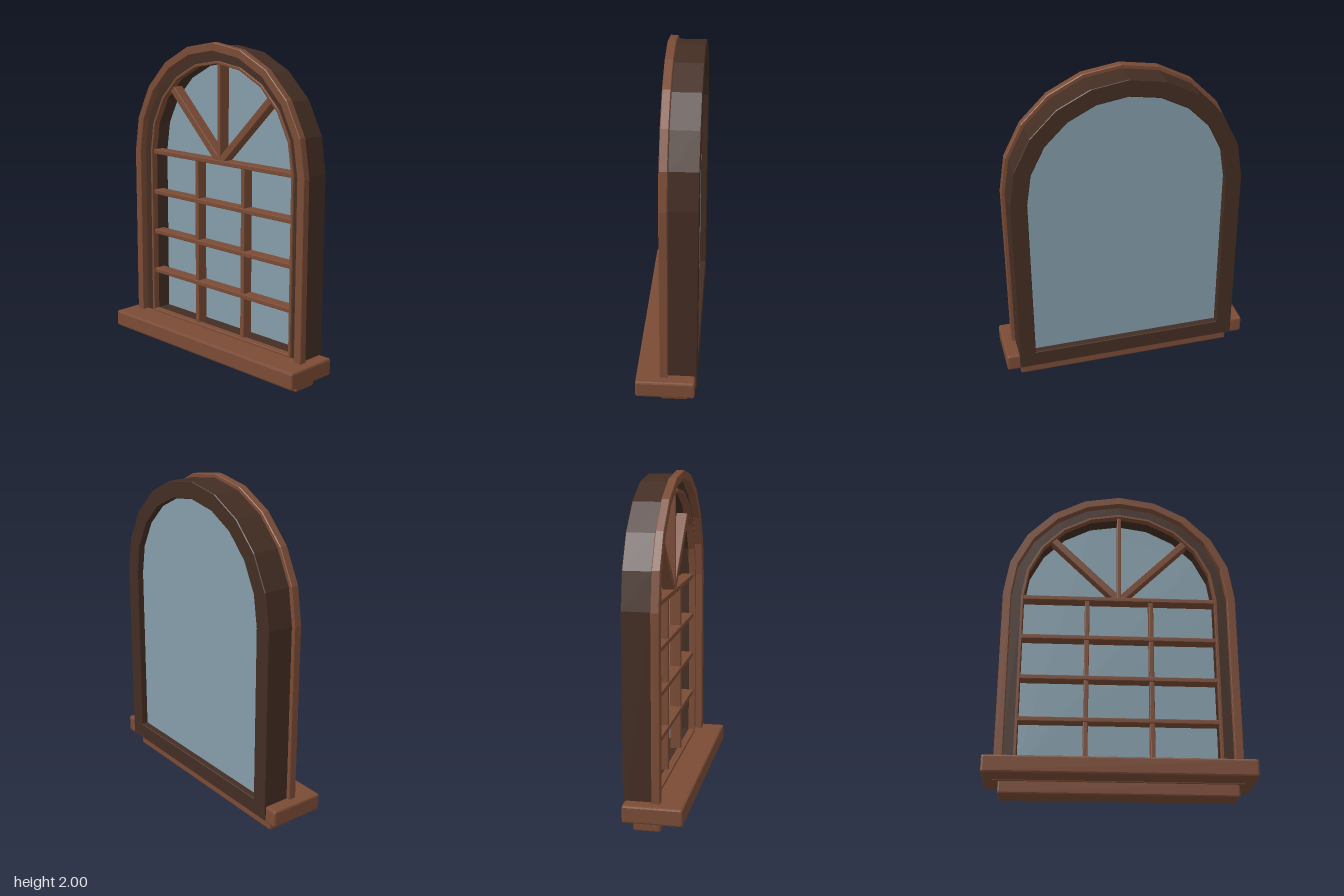
import * as THREE from 'three';
import { RoundedBoxGeometry } from 'three/addons/geometries/RoundedBoxGeometry.js';

const SPRING = 1.275; // height at which the arch begins
const SEGMENTS = 10;  // facets of the arch

// Points of an arched outline: straight sides topped by a faceted half circle
function archPoints(radius, bottom) {
  const points = [new THREE.Vector2(-radius, bottom), new THREE.Vector2(radius, bottom)];
  for (let i = 0; i <= SEGMENTS; i++) {
    const a = (i / SEGMENTS) * Math.PI;
    points.push(new THREE.Vector2(radius * Math.cos(a), SPRING + radius * Math.sin(a)));
  }
  return points;
}

// Closed arched ring between two outlines, from z0 (back) to z1 (front)
function archRing(outer, outerBottom, inner, innerBottom, z0, z1, bevel) {
  const shape = new THREE.Shape(archPoints(outer, outerBottom));
  shape.holes.push(new THREE.Path(archPoints(inner, innerBottom)));
  const geometry = new THREE.ExtrudeGeometry(shape, {
    depth: z1 - z0 - 2 * bevel, bevelEnabled: true, bevelSegments: 1,
    bevelThickness: bevel, bevelSize: bevel, bevelOffset: -bevel,
  });
  return geometry.translate(0, 0, z0 + bevel);
}

// Box with chamfered edges and flat faces
function chamferBox(w, h, d, bevel) {
  const geometry = new RoundedBoxGeometry(w, h, d, 1, bevel);
  geometry.computeVertexNormals();
  return geometry;
}

export function createModel() {
  const wood = new THREE.MeshStandardMaterial({ color: 0x7a4b35 });
  wood.name = 'warm wood';
  const darkWood = new THREE.MeshStandardMaterial({ color: 0x432d23 });
  darkWood.name = 'dark wood';
  const glass = new THREE.MeshStandardMaterial({ color: 0x849daa });
  glass.name = 'blue grey glass';

  const model = new THREE.Group();
  model.name = 'archedWindow';

  function add(name, geometry, material, x = 0, y = 0, z = 0, parent = model) {
    const mesh = new THREE.Mesh(geometry, material);
    mesh.name = name;
    mesh.position.set(x, y, z);
    parent.add(mesh);
    return mesh;
  }

  // Deep frame, front trim and the slim bead around the opening
  add('frame', archRing(0.705, 0.095, 0.602, 0.198, -0.18, -0.008, 0.004), darkWood);
  add('frontTrim', archRing(0.727, 0.073, 0.675, 0.125, -0.01, 0.04, 0.004), wood);
  add('innerBead', archRing(0.617, 0.183, 0.6, 0.2, -0.04, 0.004, 0.002), wood);

  // Pane, set towards the back of the frame
  const pane = new THREE.ExtrudeGeometry(new THREE.Shape(archPoints(0.61, 0.19)),
    { depth: 0.008, bevelEnabled: false });
  add('pane', pane, glass, 0, 0, -0.138);

  // Sill and the apron below it
  add('sill', chamferBox(1.57, 0.105, 0.35, 0.012), wood, 0, 0.1325, 0.005);
  add('apron', chamferBox(1.39, 0.09, 0.16, 0.01), wood, 0, 0.045, -0.045);

  // Glazing bars
  const bars = new THREE.Group();
  bars.name = 'glazingBars';
  model.add(bars);
  const rows = 4;
  const rowHeight = (SPRING - 0.2) / rows;
  for (let i = 1; i <= rows; i++) {
    add('horizontalBar', chamferBox(1.206, 0.029, 0.08, 0.004), wood,
      0, 0.2 + i * rowHeight, -0.05, bars);
  }
  for (const side of [-1, 1]) {
    add('verticalBar', chamferBox(0.029, SPRING - 0.19, 0.07, 0.004), wood,
      side * 0.2, (SPRING + 0.19) / 2, -0.052, bars);
  }

  // Spokes fanning out inside the arch
  for (const angle of [-45, 0, 45]) {
    const a = THREE.MathUtils.degToRad(angle);
    const width = angle ? 0.045 : 0.025;
    const spoke = add('archSpoke', chamferBox(width, 0.604, angle ? 0.072 : 0.078, 0.004), wood,
      -Math.sin(a) * 0.302, SPRING + Math.cos(a) * 0.302, -0.051, bars);
    spoke.rotation.z = a;
  }

  return model;
}
